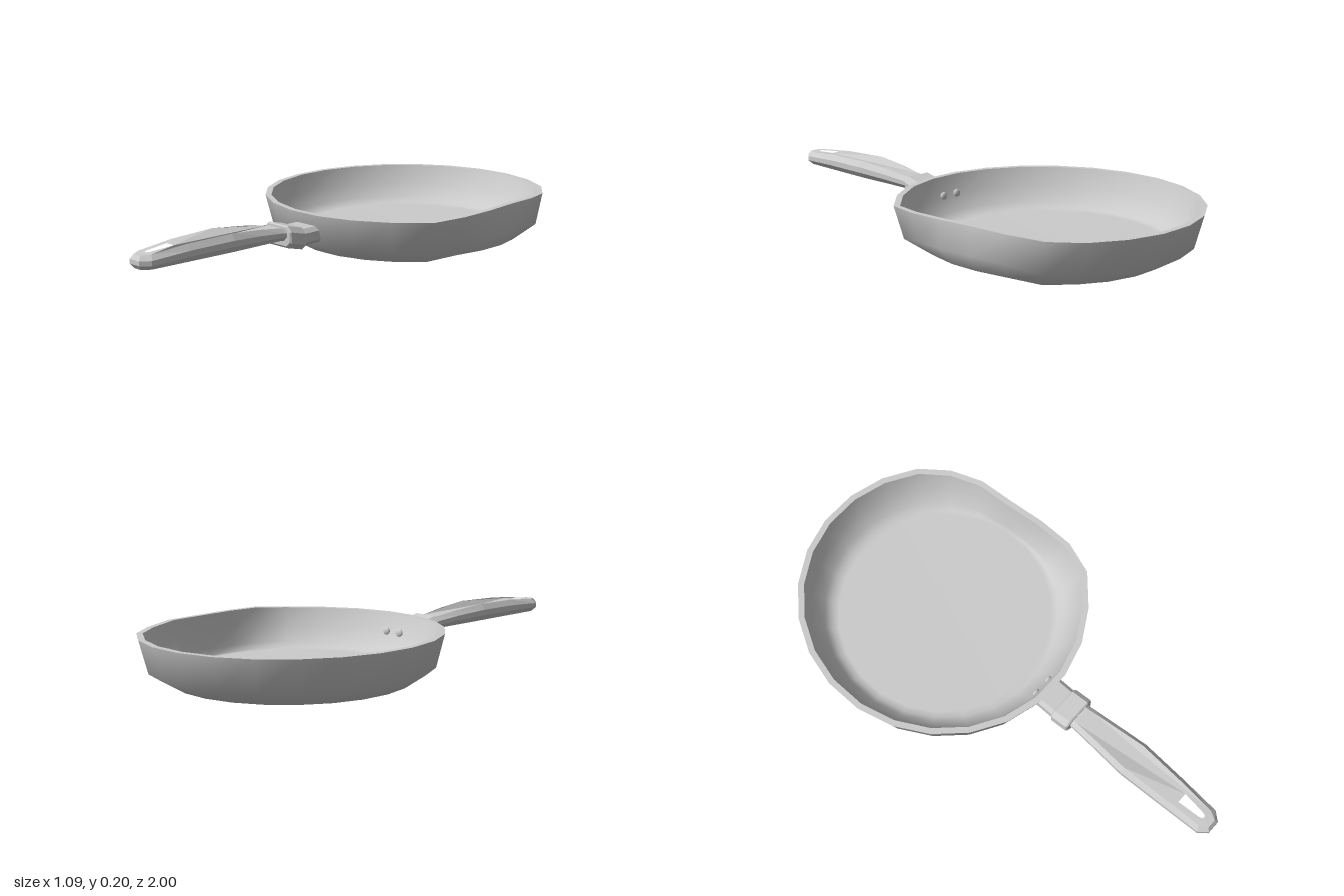
import * as THREE from 'three';

const CX = 0.027, CZ = -0.41, N = 24;

// Pouring dent on the left side: sideways shift per rim corner, and where the wall lifts
const dent = { 3: -0.019, 4: -0.047, 5: -0.075, 6: -0.059, 7: -0.02, 8: 0.012 };
const lifted = { 4: 0.85, 5: 1, 6: 1, 7: 0.85 };

// One ring of the pan: radius, height, sideways narrowing, dent strength, lift
function ring([r, y, sx, k, lift]) {
  return Array.from({ length: N }, (_, i) => {
    const a = (i + 0.5) / N * Math.PI * 2;
    return [
      CX + Math.sin(a) * r * sx + (dent[i] || 0) * k,
      y + (lifted[i] || 0) * lift,
      CZ - Math.cos(a) * r,
    ];
  });
}

function geometryFrom(points, index) {
  const g = new THREE.BufferGeometry();
  g.setAttribute('position', new THREE.Float32BufferAttribute(points.flat(), 3));
  g.setIndex(index);
  g.computeVertexNormals();
  return g;
}

// Smooth skin through a run of rings
function skin(rings) {
  const index = [];
  for (let j = 0; j < rings.length - 1; j++) {
    for (let i = 0; i < N; i++) {
      const n = (i + 1) % N, a = j * N, b = a + N;
      index.push(a + i, b + i, a + n, a + n, b + i, b + n);
    }
  }
  return geometryFrom(rings.map(ring).flat(), index);
}

// Flat underside, fanned from the corner beside the dent so the lifted part folds cleanly
function underside(spec) {
  const index = [];
  for (let i = 1; i < N - 1; i++) index.push(3, (3 + i) % N, (4 + i) % N);
  return geometryFrom(ring(spec), index).toNonIndexed();
}

// Piecewise linear lookup in rows of [z, value...]
function lookup(rows, z, col) {
  for (let i = 1; i < rows.length; i++) {
    const a = rows[i - 1], b = rows[i];
    if (z <= b[0] || i === rows.length - 1) {
      const t = THREE.MathUtils.clamp((z - a[0]) / (b[0] - a[0]), 0, 1);
      return a[col] + (b[col] - a[col]) * t;
    }
  }
}

// Handle stations: z, half width, bottom, top
const stations = [
  [0.29, 0.055, 0.105, 0.152],
  [0.34, 0.055, 0.11, 0.16],
  [0.45, 0.064, 0.114, 0.175],
  [0.6, 0.076, 0.118, 0.189],
  [0.8, 0.066, 0.118, 0.185],
  [0.965, 0.056, 0.117, 0.172],
  [1.0, 0.027, 0.119, 0.17],
];

// Grip: plan outline with a hanging slot, extruded upward, then bent and chamfered
function gripGeometry() {
  const side = stations.map(([z, w]) => new THREE.Vector2(w, -z));
  const mirror = side.map((p) => new THREE.Vector2(-p.x, p.y)).reverse();
  const shape = new THREE.Shape([...side, ...mirror]);
  const slot = [[0.021, 0.84], [0.012, 0.935], [0.006, 0.95]];
  shape.holes.push(new THREE.Path([
    ...slot.map(([x, z]) => new THREE.Vector2(x, -z)),
    ...slot.map(([x, z]) => new THREE.Vector2(-x, -z)).reverse(),
  ]));
  const g = new THREE.ExtrudeGeometry(shape, { depth: 1, steps: 3, bevelEnabled: false });
  g.rotateX(-Math.PI / 2);
  const p = g.attributes.position;
  for (let i = 0; i < p.count; i++) {
    let x = p.getX(i), z = p.getZ(i);
    const t = p.getY(i);
    const inSlot = Math.abs(x) < 0.022 && z > 0.83 && z < 0.96;
    const y = THREE.MathUtils.lerp(lookup(stations, z, 2), lookup(stations, z, 3), t);
    if (!inSlot && (t < 0.01 || t > 0.99)) {
      x -= Math.sign(x) * (z > 0.98 ? 0.008 : 0.018);
      if (z > 0.9) z -= 0.012;
    }
    p.setXYZ(i, x + CX, y, z);
  }
  g.computeVertexNormals();
  return g;
}

// Octagonal block running along z, sheared so that it climbs toward the front
function octagonBlock(w, y0, y1, c, z0, z1, climb, bevel) {
  const b = bevel, x = w - b, lo = y0 + b, hi = y1 - b;
  const shape = new THREE.Shape([
    [-x + c, lo], [x - c, lo], [x, lo + c], [x, hi - c],
    [x - c, hi], [-x + c, hi], [-x, hi - c], [-x, lo + c],
  ].map(([px, py]) => new THREE.Vector2(px, py)));
  const g = new THREE.ExtrudeGeometry(shape, {
    depth: z1 - z0 - 2 * b, bevelEnabled: b > 0, bevelSize: b, bevelThickness: b, bevelSegments: 1,
  });
  g.translate(CX, 0, z0 + b);
  const p = g.attributes.position;
  for (let i = 0; i < p.count; i++) {
    p.setY(i, p.getY(i) + climb * (p.getZ(i) - z0) / (z1 - z0));
  }
  g.computeVertexNormals();
  return g;
}

export function createModel() {
  const model = new THREE.Group();
  model.name = 'fryingPan';
  const material = new THREE.MeshStandardMaterial({ color: 0xcccccc });
  const add = (name, geometry, parent = model) => {
    const mesh = new THREE.Mesh(geometry, material);
    mesh.name = name;
    parent.add(mesh);
    return mesh;
  };

  // Pan body
  const pan = new THREE.Group();
  pan.name = 'pan';
  model.add(pan);
  const base = [0.465, 0.002, 1, 0, 0.022];
  const rimOuter = [0.595, 0.188, 0.97, 1, 0.01];
  const rimInner = [0.57, 0.188, 0.97, 1, 0.01];
  add('outerWall', skin([base, [0.56, 0.058, 0.975, 0.45, 0.033], rimOuter]), pan);
  add('underside', underside(base), pan);
  add('rim', skin([rimOuter, rimInner]), pan);
  add('innerWall', skin([
    rimInner,
    [0.542, 0.11, 0.975, 0.8, 0.01],
    [0.5, 0.055, 0.98, 0.5, 0.005],
    [0.47, 0.035, 0.99, 0.2, 0],
    [0.44, 0.03, 1, 0, 0],
    [0.0005, 0.03, 1, 0, 0],
  ]), pan);

  // Rivets inside the wall
  for (const s of [-1, 1]) {
    const rivet = add('rivet', new THREE.SphereGeometry(0.017, 10, 8), pan);
    rivet.scale.z = 0.6;
    rivet.position.set(CX + s * 0.037, 0.115, 0.127);
  }

  // Handle: bracket on the pan, collar, grip
  const handle = new THREE.Group();
  handle.name = 'handle';
  model.add(handle);
  add('bracket', octagonBlock(0.067, 0.075, 0.142, 0.016, 0.148, 0.26, 0, 0), handle);
  add('collar', octagonBlock(0.075, 0.061, 0.148, 0.018, 0.235, 0.322, 0.021, 0.006), handle);
  add('grip', gripGeometry(), handle);

  return model;
}
